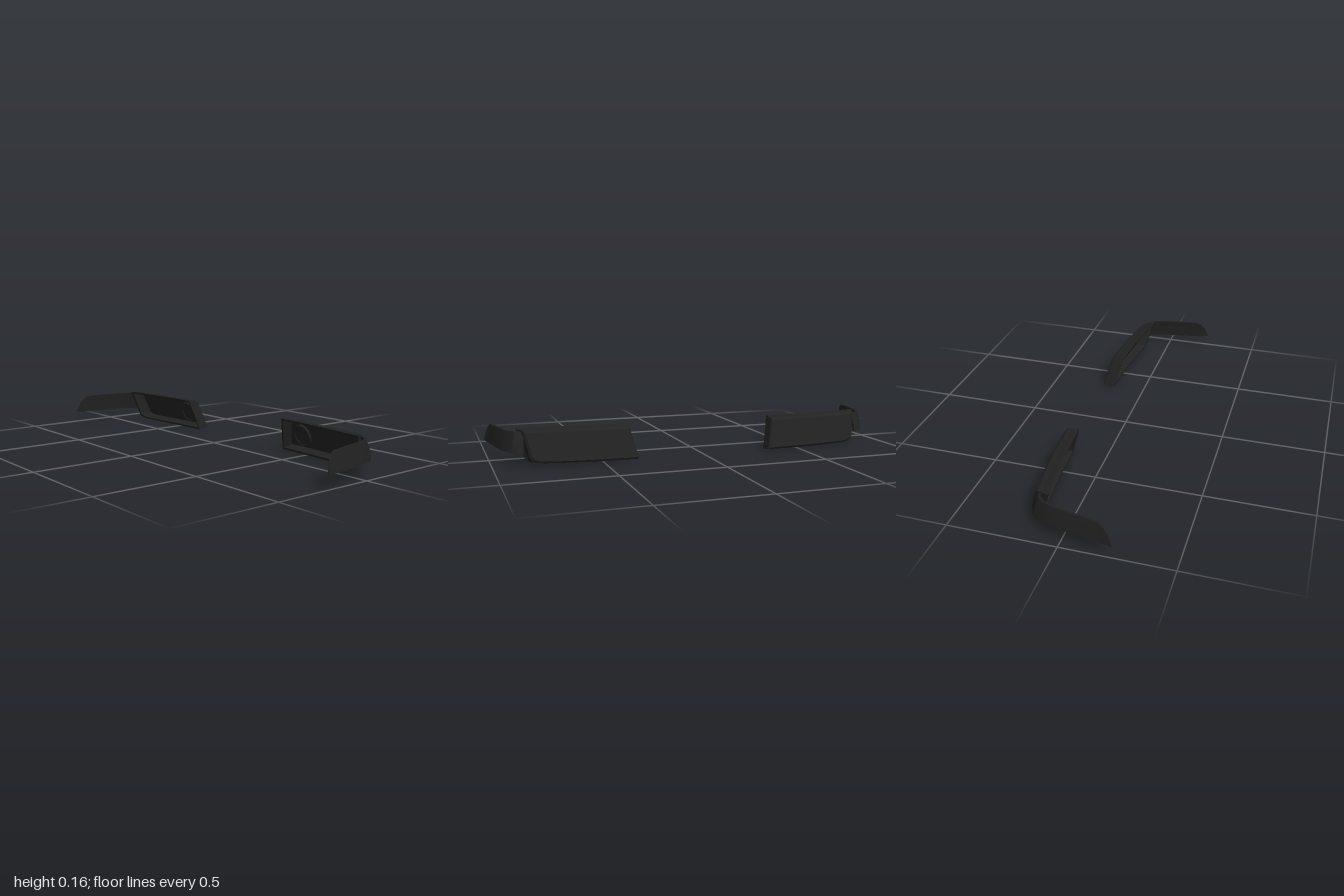
import * as THREE from 'three';
import { toCreasedNormals } from 'three/addons/utils/BufferGeometryUtils.js';

const material = new THREE.MeshStandardMaterial({ color: 0x222222 });

// Skins a series of closed rings (equal point counts) and caps both ends.
function loft(rings) {
  const n = rings[0].length, last = (rings.length - 1) * n, index = [];
  for (let r = 0; r < rings.length - 1; r++) {
    for (let j = 0; j < n; j++) {
      const a = r * n + j, b = r * n + (j + 1) % n;
      index.push(a, a + n, b + n, a, b + n, b);
    }
  }
  for (let i = 0; i < n / 2 - 1; i++) {
    const a = i, b = i + 1, c = n - 2 - i, d = n - 1 - i;
    index.push(a, b, c, a, c, d);
    index.push(last + a, last + c, last + b, last + a, last + d, last + c);
  }
  const g = new THREE.BufferGeometry();
  g.setAttribute('position', new THREE.Float32BufferAttribute(rings.flat(2), 3));
  g.setIndex(index);
  return toCreasedNormals(g, 0.45);
}

function part(name, geometry) {
  const mesh = new THREE.Mesh(geometry, material);
  mesh.name = name;
  return mesh;
}

// Leaning, slightly bowed plane of the housing's front rim
function rimZ(x, y) {
  const u = THREE.MathUtils.clamp((x - 0.35) / 0.52, 0, 1);
  return -0.12 + (x - 0.365) * 0.085 + (y - 0.16) * 0.28 - 0.008 * Math.sin(Math.PI * u);
}

// Open-fronted housing: cavity floor, rim, outer walls, chamfered back
function housing() {
  const bottom = [[0.33, 0], [0.45, 0], [0.57, 0], [0.69, 0.001], [0.78, 0.003],
    [0.822, 0.006], [0.845, 0.016], [0.854, 0.035]];
  const top = [0.365, 0.47, 0.58, 0.69, 0.77, 0.82, 0.855, 0.88].map(x => [x, 0.161]);
  const outline = [...bottom, ...top.reverse()];
  // depth, inset at inner end, inset at outer end, inset at top and bottom
  const steps = [
    [0.048, 0.026, 0.045, 0.024],
    [0.040, 0.020, 0.035, 0.019],
    [0.001, 0.010, 0.014, 0.010],
    [0.000, 0.000, 0.000, 0.000],
    [0.016, 0.000, 0.002, 0.001],
    [0.022, 0.001, 0.010, 0.003],
    [0.054, 0.003, 0.022, 0.006],
    [0.063, 0.010, 0.034, 0.015],
  ];
  return part('lampHousing', loft(steps.map(([d, inner, outer, edge]) =>
    outline.map(([x, y]) => {
      const u = (x - 0.33) / 0.55, v = y / 0.161;
      const px = x + inner * (1 - u) - outer * u;
      const py = y + edge * (1 - 2 * v);
      return [px, py, rimZ(px, py) - d];
    }))));
}

// Round socket set in the cavity floor
function socket() {
  const profile = [[0, 0.004], [0.045, 0.006], [0.052, 0.010], [0.057, 0.008], [0.058, -0.006]]
    .map(([r, y]) => new THREE.Vector2(r, y)).reverse();
  const mesh = part('bulbSocket', toCreasedNormals(new THREE.LatheGeometry(profile, 12), 0.45));
  const x = 0.45, y = 0.083;
  mesh.position.set(x, y, rimZ(x, y) - 0.046);
  mesh.quaternion.setFromUnitVectors(new THREE.Vector3(0, 1, 0),
    new THREE.Vector3(-0.06, -0.28, 1).normalize());
  return mesh;
}

// Thin strip wrapping from the housing's outer end along the side
function sideStrip() {
  // x, z, top height, inward lean of the top edge
  const path = [
    [0.858, -0.158, 0.150, 0.035], [0.885, -0.153, 0.150, 0.034], [0.908, -0.136, 0.150, 0.026],
    [0.933, -0.095, 0.150, 0.018], [0.950, -0.040, 0.150, 0.014], [0.965, 0.040, 0.150, 0.012],
    [0.979, 0.120, 0.149, 0.012], [0.985, 0.165, 0.147, 0.012], [0.989, 0.185, 0.135, 0.010],
    [0.995, 0.210, 0.106, 0.006], [1.000, 0.230, 0.060, 0.000],
  ];
  const low = 0.056;
  const rings = path.map(([x, z, high, lean], i) => {
    const p = path[Math.max(i - 1, 0)], q = path[Math.min(i + 1, path.length - 1)];
    const length = Math.hypot(q[0] - p[0], q[1] - p[1]);
    const nx = (q[1] - p[1]) / length, nz = -(q[0] - p[0]) / length;
    const thick = i === path.length - 1 ? 0.003 : 0.01;
    const at = (inward, y) => [x - nx * inward, y, z - nz * inward];
    const mid = (low + high) / 2, bulge = lean * 0.35;
    return [at(0, low), at(thick, low), at(bulge + thick, mid),
      at(lean + thick, high), at(lean, high), at(bulge, mid)];
  });
  return part('sideStrip', loft(rings));
}

export function createModel() {
  const model = new THREE.Group();
  model.name = 'lampHousings';
  for (const side of [1, -1]) {
    const lamp = new THREE.Group();
    lamp.name = side > 0 ? 'leftLamp' : 'rightLamp';
    lamp.add(housing(), socket(), sideStrip());
    lamp.scale.x = side;
    model.add(lamp);
  }
  return model;
}
